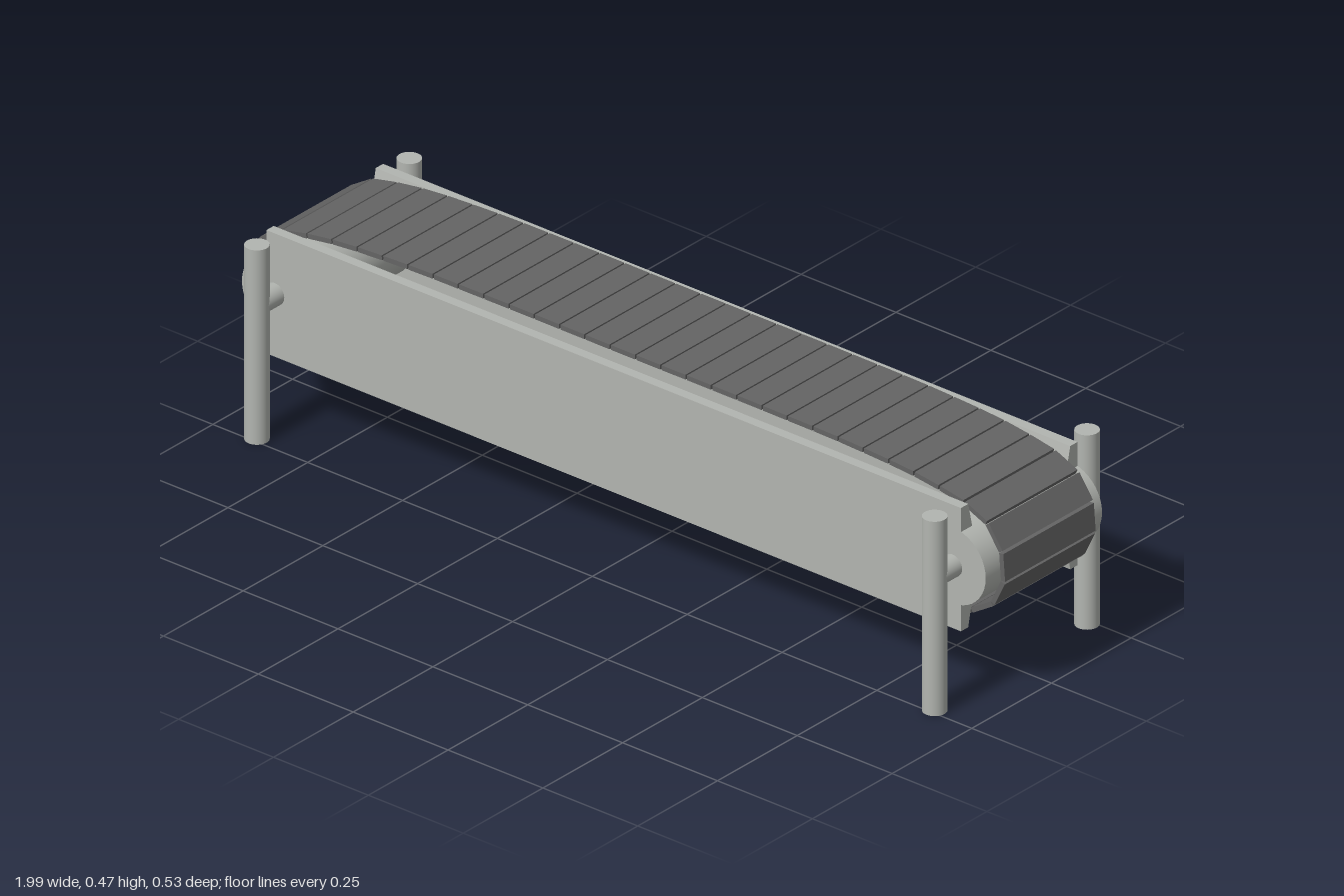
import * as THREE from 'three';

const metal = new THREE.MeshStandardMaterial({ color: 0xb2b5b0 });
metal.name = 'grey metal';
const rubber = new THREE.MeshStandardMaterial({ color: 0x646464 });
rubber.name = 'dark belt';

const AXLE_X = 0.893, AXLE_Y = 0.309;

function add(parent, name, geometry, material, x = 0, y = 0, z = 0) {
  const mesh = new THREE.Mesh(geometry, material);
  mesh.name = name;
  mesh.position.set(x, y, z);
  parent.add(mesh);
  return mesh;
}

// Side panel: bar whose inner face is bevelled towards its top and bottom edges
function panelGeometry(side) {
  const section = [[0.183, 0.165], [0.183, 0.448], [0.16, 0.448], [0.148, 0.395], [0.148, 0.222], [0.16, 0.165]];
  const shape = new THREE.Shape(section.map(([z, y]) => new THREE.Vector2(-z * side, y)));
  const geometry = new THREE.ExtrudeGeometry(shape, { depth: 1.83, bevelEnabled: false });
  geometry.translate(0, 0, -0.915);
  geometry.rotateY(Math.PI / 2);
  return geometry;
}

// Belt: separate slats laid along a closed loop around both drums
function createBelt() {
  const belt = new THREE.Group();
  belt.name = 'belt';
  const quarter = [[0.994, 0], [0.979, 0.06], [0.935, 0.106], [0.8, 0.138], [0.6, 0.152], [0.4, 0.155], [0, 0.155]];
  const back = quarter.slice(0, -1).reverse();
  const loop = [
    ...quarter,
    ...back.map(([x, y]) => [-x, y]),
    ...quarter.slice(1).map(([x, y]) => [-x, -y]),
    ...back.slice(0, -1).map(([x, y]) => [x, -y]),
  ].map(([x, y]) => new THREE.Vector3(x, AXLE_Y + 0.002 + y, 0));
  const curve = new THREE.CatmullRomCurve3(loop, true, 'centripetal');
  curve.arcLengthDivisions = 800;
  const count = 64;
  for (let i = 0; i < count; i++) {
    const a = curve.getPointAt(((i - 0.35) / count + 1) % 1);
    const b = curve.getPointAt(((i + 0.65) / count) % 1);
    const length = a.distanceTo(b) - 0.004;
    const slat = add(belt, 'slat', new THREE.BoxGeometry(length, 0.011, 0.284), rubber);
    slat.position.addVectors(a, b).multiplyScalar(0.5);
    slat.rotation.z = Math.atan2(b.y - a.y, b.x - a.x);
  }
  return belt;
}

export function createModel() {
  const conveyor = new THREE.Group();
  conveyor.name = 'conveyor';

  for (const side of [1, -1]) {
    add(conveyor, 'sidePanel', panelGeometry(side), metal);
    // Legs at the four corners
    for (const end of [1, -1]) {
      add(conveyor, 'leg', new THREE.CylinderGeometry(0.026, 0.026, 0.446, 32), metal, end * AXLE_X, 0.223, side * 0.239);
    }
  }

  // Drums and the axles that join them to the legs
  for (const end of [1, -1]) {
    const drum = new THREE.CylinderGeometry(0.087, 0.087, 0.365, 40);
    add(conveyor, 'drum', drum, metal, end * AXLE_X, AXLE_Y).rotation.x = Math.PI / 2;
    const axle = new THREE.CylinderGeometry(0.025, 0.025, 0.478, 32);
    add(conveyor, 'axle', axle, metal, end * AXLE_X, AXLE_Y).rotation.x = Math.PI / 2;
  }

  conveyor.add(createBelt());
  return conveyor;
}
